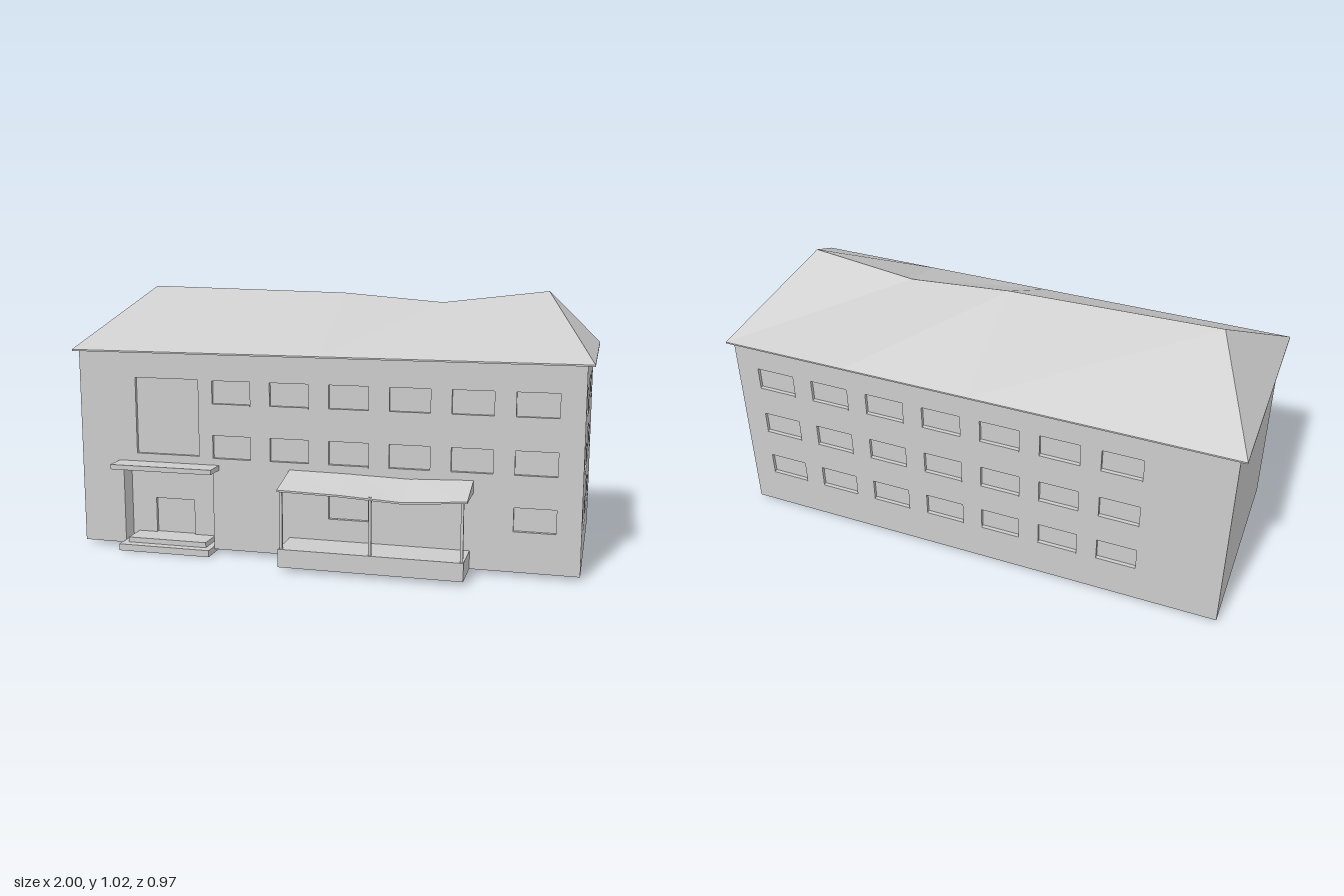
import * as THREE from 'three';

const mat = new THREE.MeshStandardMaterial({ color: 0xcccccc, side: THREE.DoubleSide, flatShading: true });
const DEPTH = 0.013; // depth of the window recesses
const BASE = 0.015;  // bottom of the walls
const EAVE = 0.783;  // top of the walls

function add(parent, name, geometry) {
  const mesh = new THREE.Mesh(geometry, mat);
  mesh.name = name;
  parent.add(mesh);
  return mesh;
}

// Box given by its limits on each axis
function block(parent, name, x0, x1, y0, y1, z0, z1) {
  const mesh = add(parent, name, new THREE.BoxGeometry(x1 - x0, y1 - y0, z1 - z0));
  mesh.position.set((x0 + x1) / 2, (y0 + y1) / 2, (z0 + z1) / 2);
  return mesh;
}

function rectPath(Type, u0, u1, v0, v1) {
  return new Type([[u0, v0], [u1, v0], [u1, v1], [u0, v1]].map(p => new THREE.Vector2(...p)));
}

// Wall with recessed openings; outer face on local z = 0
function wall(parent, name, u0, u1, v0, v1, openings) {
  const group = new THREE.Group();
  group.name = name;
  const shape = rectPath(THREE.Shape, u0, u1, v0, v1);
  for (const o of openings) {
    const [a, b, c, d] = o.rect;
    shape.holes.push(rectPath(THREE.Path, a, b, c, d));
    if (o.open) continue;
    const pane = add(group, o.name ?? 'windowPane', new THREE.PlaneGeometry(b - a, d - c));
    pane.position.set((a + b) / 2, (c + d) / 2, -DEPTH);
    if (o.sill) block(group, 'windowSill', a, b, c - 0.002, c + 0.003, -DEPTH, 0.002);
  }
  const geometry = new THREE.ExtrudeGeometry(shape, { depth: DEPTH, bevelEnabled: false });
  geometry.translate(0, 0, -DEPTH);
  add(group, name + 'Face', geometry);
  parent.add(group);
  return group;
}

// Surface from quads and triangles given as corner lists
function facets(faces) {
  const pos = [];
  for (const f of faces)
    for (let i = 1; i < f.length - 1; i++) pos.push(...f[0], ...f[i], ...f[i + 1]);
  const geometry = new THREE.BufferGeometry();
  geometry.setAttribute('position', new THREE.Float32BufferAttribute(pos, 3));
  geometry.computeVertexNormals();
  return geometry;
}

function buildWalls(model) {
  const rows = [0.165, 0.375, 0.588];
  const column = k => 0.885 - 0.231 * k; // right edge of each window column
  const front = [
    { rect: [-0.74, -0.48, 0.383, 0.682], name: 'stairWindowPane' },
    { rect: [-0.8, -0.425, 0.02, 0.33], open: true },
  ];
  const back = [];
  for (let k = 0; k < 7; k++) {
    rows.forEach((y, r) => {
      const x = column(k);
      back.push({ rect: [-x, -x + 0.153, y, y + 0.092], sill: true });
      const present = k < 6 && (r > 0 || k === 0 || k === 3);
      if (present) front.push({ rect: [x - 0.153, x, y, y + 0.092], sill: true });
    });
  }
  const side = [];
  for (const y of rows)
    for (const u of [-0.235, 0.22]) side.push({ rect: [u, u + 0.155, y, y + 0.092], sill: true });
  for (const [y0, y1] of [[0.165, 0.298], [0.371, 0.508], [0.56, 0.695]])
    side.push({ rect: [-0.008, 0.147, y0, y1] });

  wall(model, 'frontWall', -0.975, 0.975, BASE, EAVE, front).position.z = 0.322;
  const rear = wall(model, 'backWall', -0.975, 0.975, BASE, EAVE, back);
  rear.rotation.y = Math.PI;
  rear.position.z = -0.467;
  const left = wall(model, 'leftWall', -0.322, 0.467, BASE, EAVE, side);
  left.rotation.y = Math.PI / 2;
  left.position.x = 0.975;
  const right = wall(model, 'rightWall', -0.467, 0.322, BASE, EAVE, []);
  right.rotation.y = -Math.PI / 2;
  right.position.x = -0.975;
}

// Hipped roof with a sagging ridge; stations are [eave x, ridge x, ridge y]
function buildRoof(model) {
  const zf = 0.333, zb = -0.483, zr = -0.073, y = EAVE + 0.003;
  const stations = [[-1, -0.81, 1.016], [0, 0, 0.999], [0.5, 0.4, 0.967], [1, 0.81, 1.016]];
  const f = stations.map(s => [s[0], y, zf]);
  const b = stations.map(s => [s[0], y, zb]);
  const r = stations.map(s => [s[1], s[2], zr]);
  const faces = [[b[0], f[0], r[0]], [f[3], b[3], r[3]]];
  for (let i = 0; i < 3; i++) {
    faces.push([f[i], f[i + 1], r[i + 1], r[i]]);
    faces.push([b[i + 1], b[i], r[i], r[i + 1]]);
  }
  add(model, 'roof', facets(faces));
  block(model, 'eaves', -1, 1, EAVE - 0.003, y, zb, zf);
}

// Recessed doorway with steps and a flat canopy
function buildEntrance(model) {
  const g = new THREE.Group();
  g.name = 'entrance';
  wall(g, 'alcoveBack', -0.8, -0.425, BASE, 0.33,
    [{ rect: [-0.697, -0.534, 0.046, 0.187], name: 'door' }]).position.z = 0.25;
  block(g, 'alcoveSide', -0.804, -0.8, BASE, 0.33, 0.24, 0.318);
  block(g, 'alcoveSide', -0.425, -0.421, BASE, 0.33, 0.24, 0.318);
  block(g, 'alcoveCeiling', -0.804, -0.421, 0.33, 0.334, 0.24, 0.318);
  block(g, 'lowerStep', -0.8, -0.425, 0, 0.026, 0.25, 0.385);
  block(g, 'upperStep', -0.775, -0.45, 0.026, 0.046, 0.25, 0.35);
  block(g, 'entranceCanopy', -0.815, -0.4, 0.332, 0.351, 0.315, 0.41);
  model.add(g);
}

// Raised terrace with posts and a sagging lean-to roof
function buildPorch(model) {
  const g = new THREE.Group();
  g.name = 'porch';
  const x0 = -0.115, x1 = 0.575, top = 0.084;
  block(g, 'deck', x0, x1, top - 0.006, top, 0.322, 0.48);
  block(g, 'deckFront', x0, x1, BASE, top, 0.474, 0.48);
  for (const x of [x0, x1 - 0.006]) block(g, 'deckSide', x, x + 0.006, BASE, top, 0.322, 0.48);
  for (const x of [-0.103, 0.233, 0.567])
    block(g, 'post', x - 0.005, x + 0.005, top, 0.302, 0.464, 0.474);

  // Each section runs wall top, front top, front bottom, wall bottom
  const sections = [[-0.115, 0], [0.12, 0.005], [0.35, 0.017], [0.585, 0]].map(([x, sag]) => [
    [x, 0.354 - sag * 0.5, 0.305], [x, 0.309 - sag, 0.483],
    [x, 0.302 - sag, 0.483], [x, 0.302 - sag * 0.5, 0.305]]);
  const faces = [sections[0], [...sections[3]].reverse()];
  for (let i = 0; i < 3; i++)
    for (let j = 0; j < 4; j++) {
      const k = (j + 1) % 4, a = sections[i], b = sections[i + 1];
      faces.push([a[j], a[k], b[k], b[j]]);
    }
  add(g, 'porchRoof', facets(faces));
  model.add(g);
}

export function createModel() {
  const model = new THREE.Group();
  model.name = 'building';
  buildWalls(model);
  buildRoof(model);
  buildEntrance(model);
  buildPorch(model);
  return model;
}
